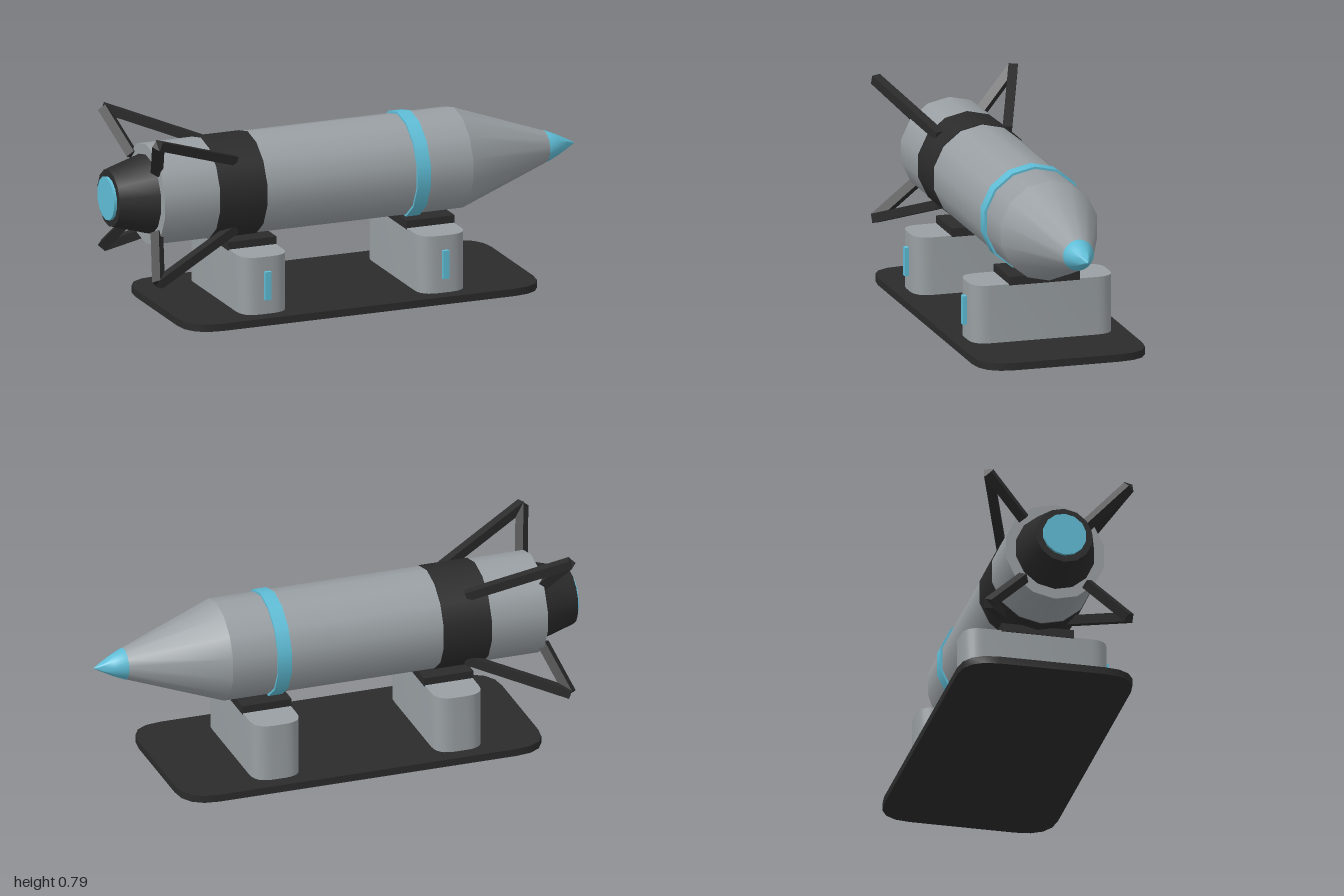
import * as THREE from 'three';
import { toCreasedNormals } from 'three/addons/utils/BufferGeometryUtils.js';

const AXIS_Y = 0.488; // height of the rocket's long axis
const SIDES = 14;

export function createModel() {
  const root = new THREE.Group();
  root.name = 'rocketOnStand';

  const material = (name, color) => {
    const m = new THREE.MeshStandardMaterial({ color });
    m.name = name;
    return m;
  };
  const grey = material('hullGrey', 0x999fa3);
  const dark = material('darkTrim', 0x2b2b2b);
  const cyan = material('cyanAccent', 0x5fbdd6);

  const add = (name, geometry, mat, x = 0, y = 0, z = 0) => {
    const mesh = new THREE.Mesh(geometry, mat);
    mesh.name = name;
    mesh.position.set(x, y, z);
    root.add(mesh);
    return mesh;
  };

  // Frustum lying along x, with a vertex at the top and bottom
  const section = (name, x0, r0, x1, r1, mat) => {
    const g = new THREE.CylinderGeometry(r1, r0, x1 - x0, SIDES, 1, false, Math.PI / 2);
    g.rotateZ(-Math.PI / 2);
    return add(name, g, mat, (x0 + x1) / 2, AXIS_Y, 0);
  };

  // Upright slab with rounded corners in plan
  const slab = (w, d, h, r, segments) => {
    const x = w / 2, y = d / 2;
    const s = new THREE.Shape();
    s.moveTo(-x + r, -y);
    s.lineTo(x - r, -y);
    s.quadraticCurveTo(x, -y, x, -y + r);
    s.lineTo(x, y - r);
    s.quadraticCurveTo(x, y, x - r, y);
    s.lineTo(-x + r, y);
    s.quadraticCurveTo(-x, y, -x, y - r);
    s.lineTo(-x, -y + r);
    s.quadraticCurveTo(-x, -y, -x + r, -y);
    const g = new THREE.ExtrudeGeometry(s, { depth: h, bevelEnabled: false, curveSegments: segments });
    g.rotateX(-Math.PI / 2);
    return toCreasedNormals(g, 0.7);
  };

  // Hull, bands and tail
  section('hull', -0.83, 0.204, 0.485, 0.204, grey);
  section('noseCone', 0.485, 0.204, 0.88, 0.06, grey);
  section('rearBand', -0.595, 0.207, -0.395, 0.207, dark);
  section('frontRing', 0.243, 0.213, 0.3, 0.213, cyan);
  section('engineBell', -0.988, 0.115, -0.828, 0.162, dark);
  section('engineGlow', -1, 0.088, -0.985, 0.088, cyan);

  // Slightly convex nose tip
  const tipProfile = [[0, 0.87], [0.063, 0.87], [0.063, 0.875], [0.042, 0.923], [0.02, 0.965], [0, 1]]
    .map(([r, x]) => new THREE.Vector2(r, x));
  const tip = new THREE.LatheGeometry(tipProfile, 24);
  tip.rotateZ(-Math.PI / 2);
  add('noseTip', toCreasedNormals(tip, 0.7), cyan, 0, AXIS_Y, 0);

  // Open fins: two square struts each, turned so a corner faces outward
  const strut = (name, angle, x0, r0, x1, r1) => {
    const at = (x, r) => new THREE.Vector3(x, AXIS_Y + r * Math.sin(angle), r * Math.cos(angle));
    const a = at(x0, r0), b = at(x1, r1);
    const dir = b.clone().sub(a);
    const length = dir.length();
    dir.normalize();
    const tangent = new THREE.Vector3(0, Math.cos(angle), -Math.sin(angle));
    const normal = dir.clone().cross(tangent);
    const g = new THREE.BoxGeometry(0.037, length, 0.037);
    g.rotateY(Math.PI / 4);
    g.applyMatrix4(new THREE.Matrix4().makeBasis(normal, dir, tangent));
    const mid = a.add(b).multiplyScalar(0.5);
    add(name, g, dark, mid.x, mid.y, mid.z);
  };
  for (let i = 0; i < 4; i++) {
    const angle = Math.PI / 4 + (i * Math.PI) / 2;
    strut('finLongStrut', angle, -0.51, 0.197, -0.895, 0.402);
    strut('finShortStrut', angle, -0.835, 0.18, -0.893, 0.4);
  }

  // Stand
  add('basePlate', slab(1.52, 0.704, 0.03, 0.14, 4), dark, -0.025, 0, 0);
  for (const x of [-0.435, 0.325]) {
    add('pedestal', slab(0.2, 0.586, 0.235, 0.075, 6), grey, x, 0.03, 0);
    add('cradlePad', new THREE.BoxGeometry(0.206, 0.035, 0.292), dark, x, 0.278, 0);
    add('pedestalLight', new THREE.BoxGeometry(0.026, 0.116, 0.018), cyan, x, 0.148, 0.301);
  }
  return root;
}
